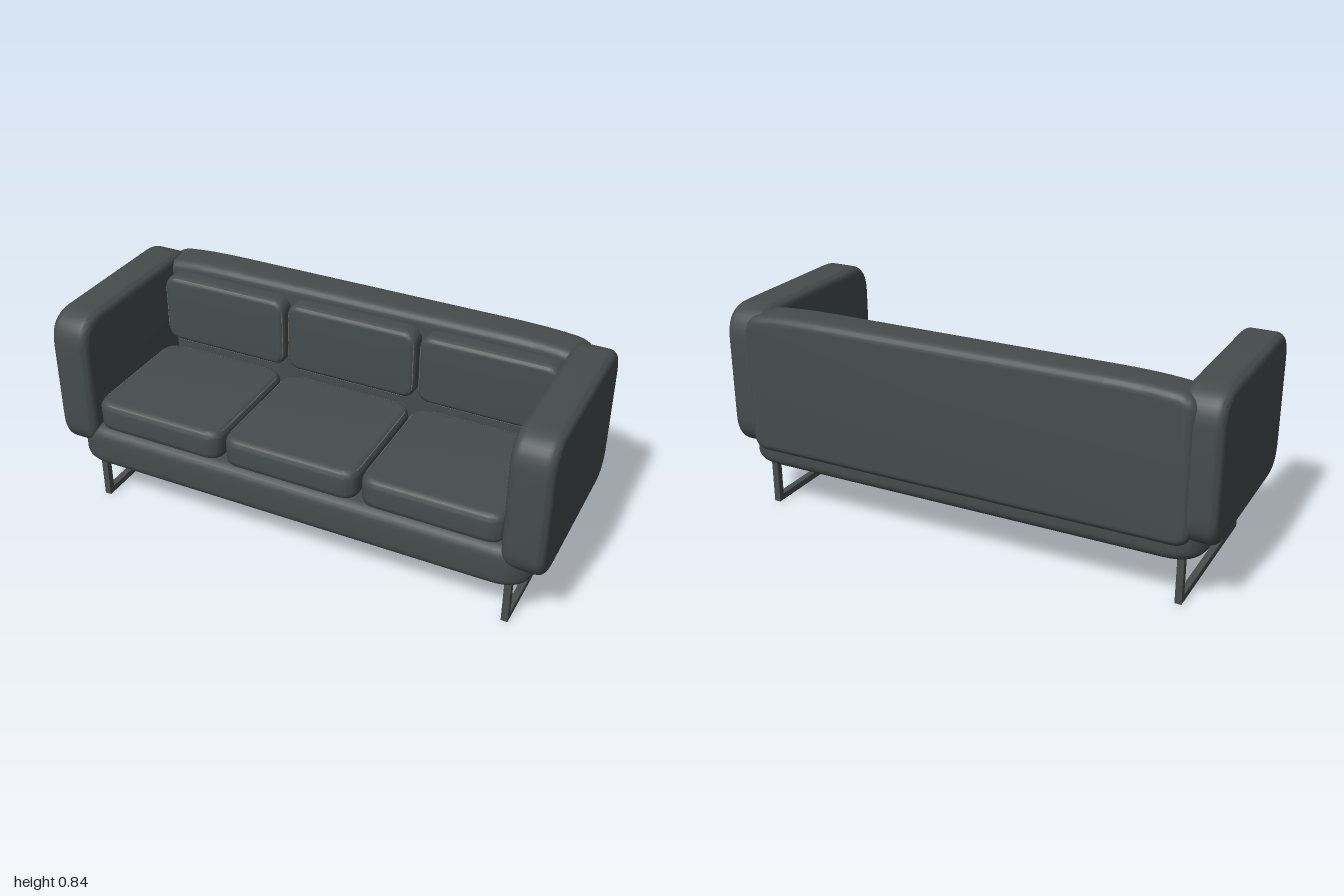
import * as THREE from 'three';
import { toCreasedNormals } from 'three/addons/utils/BufferGeometryUtils.js';

const material = (name, color) => {
  const m = new THREE.MeshStandardMaterial({ color });
  m.name = name;
  return m;
};

// Rounded rectangle centred on the origin
function roundedRect(w, h, r) {
  const x = w / 2, y = h / 2, s = new THREE.Shape();
  s.moveTo(-x + r, -y);
  s.lineTo(x - r, -y);
  s.quadraticCurveTo(x, -y, x, -y + r);
  s.lineTo(x, y - r);
  s.quadraticCurveTo(x, y, x - r, y);
  s.lineTo(-x + r, y);
  s.quadraticCurveTo(-x, y, -x, y - r);
  s.lineTo(-x, -y + r);
  s.quadraticCurveTo(-x, -y, -x + r, -y);
  return s;
}

// Upholstered block: outline in xy, thickness in z, centred, soft edges
function softBlock(shape, thickness, bevel) {
  const g = new THREE.ExtrudeGeometry(shape, {
    depth: thickness - 2 * bevel, bevelEnabled: true, bevelSize: bevel,
    bevelThickness: bevel, bevelOffset: -bevel, bevelSegments: 6, curveSegments: 10,
  });
  g.translate(0, 0, -thickness / 2 + bevel);
  return toCreasedNormals(g, 0.7);
}

export function createModel() {
  const sofa = new THREE.Group();
  sofa.name = 'sofa';
  const fabric = material('charcoal fabric', 0x464c4c);
  const metal = material('dark metal', 0x484d4c);
  const thread = material('tan thread', 0x8a8272);

  const add = (name, geometry, mat, x, y, z, parent = sofa) => {
    const mesh = new THREE.Mesh(geometry, mat);
    mesh.name = name;
    mesh.position.set(x, y, z);
    parent.add(mesh);
    return mesh;
  };

  // Base, a plan outline laid flat
  const base = softBlock(roundedRect(1.9, 0.77, 0.14), 0.175, 0.045);
  base.rotateX(-Math.PI / 2);
  add('base', base, fabric, 0, 0.278, 0.003);

  // Back with a top edge that falls gently to the ends
  const s = new THREE.Shape();
  s.moveTo(-0.84, -0.29);
  s.lineTo(0.84, -0.29);
  s.quadraticCurveTo(0.91, -0.29, 0.91, -0.22);
  s.lineTo(0.91, 0.2);
  s.quadraticCurveTo(0.91, 0.265, 0.84, 0.277);
  s.quadraticCurveTo(0.74, 0.29, 0.58, 0.29);
  s.lineTo(-0.58, 0.29);
  s.quadraticCurveTo(-0.74, 0.29, -0.84, 0.277);
  s.quadraticCurveTo(-0.91, 0.265, -0.91, 0.2);
  s.lineTo(-0.91, -0.22);
  s.quadraticCurveTo(-0.91, -0.29, -0.84, -0.29);
  add('back', softBlock(s, 0.165, 0.035), fabric, 0, 0.545, -0.3125);

  // Arms
  const arm = softBlock(roundedRect(0.782, 0.585, 0.13), 0.16, 0.035);
  arm.rotateY(Math.PI / 2);

  // Leg frame of square bars
  const postHeight = 0.2, bar = 0.026;
  const post = new THREE.BoxGeometry(bar, postHeight, bar);
  const rail = new THREE.BoxGeometry(bar, bar, 0.64);

  for (const [side, sx] of [['left', 1], ['right', -1]]) {
    add(side + 'Arm', arm, fabric, sx * 0.92, 0.5455, 0.004);
    const frame = new THREE.Group();
    frame.name = side + 'LegFrame';
    frame.position.x = sx * 0.865;
    sofa.add(frame);
    add('frontPost', post, metal, 0, postHeight / 2, 0.315, frame);
    add('rearPost', post, metal, 0, postHeight / 2, -0.308, frame);
    add('floorRail', rail, metal, 0, bar / 2, 0.003, frame);
    add('topRail', rail, metal, 0, 0.194, 0.003, frame);
  }

  // Cushions with a fine stitched seam around the facing edge
  const cushion = (w, h, thickness, r, bevel) => {
    const geo = softBlock(roundedRect(w, h, r), thickness, bevel);
    const inset = bevel * 0.6;
    const points = roundedRect(w - inset, h - inset, r).getSpacedPoints(80)
      .slice(0, -1).map(p => new THREE.Vector3(p.x, p.y, thickness / 2 - inset / 2));
    const path = new THREE.CatmullRomCurve3(points, true);
    return [geo, new THREE.TubeGeometry(path, 120, 0.0015, 5, true)];
  };
  const [seatGeo, seatSeam] = cushion(0.552, 0.54, 0.125, 0.07, 0.03);
  const [backGeo, backSeam] = cushion(0.552, 0.29, 0.1, 0.06, 0.025);
  for (const g of [seatGeo, seatSeam]) g.rotateX(-Math.PI / 2);

  ['right', 'middle', 'left'].forEach((place, i) => {
    const x = (i - 1) * 0.565;
    add(place + 'SeatCushion', seatGeo, fabric, x, 0.4195, 0.102);
    add(place + 'SeatSeam', seatSeam, thread, x, 0.4195, 0.102);
    add(place + 'BackCushion', backGeo, fabric, x, 0.645, -0.208);
    add(place + 'BackSeam', backSeam, thread, x, 0.645, -0.208);
  });

  return sofa;
}
